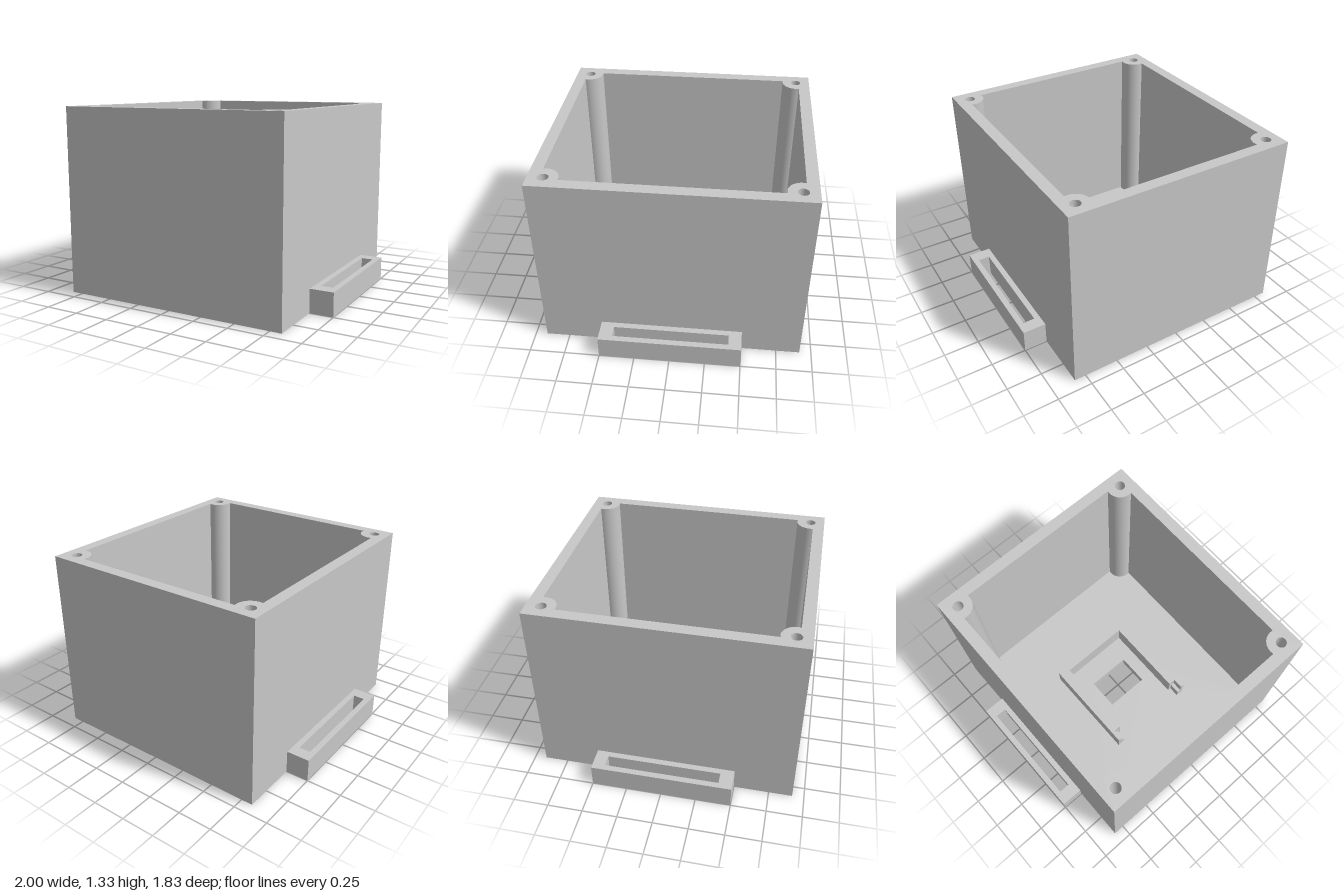
import * as THREE from 'three';
import { toCreasedNormals } from 'three/addons/utils/BufferGeometryUtils.js';

const W = 0.833, D = 0.917, H = 1.333, FLOOR = 0.083;
const IN_X = 0.75, IN_Z = 0.835;
const POST_X = 0.73, POST_Z = 0.813, POST_R = 0.1, SCREW_R = 0.037;

const rect = (x0, z0, x1, z1) => [[x0, z0], [x1, z0], [x1, z1], [x0, z1]];

// Plan outline as shape points, always counter-clockwise so faces point outward
function toVectors(pts) {
  const v = pts.map(([x, z]) => new THREE.Vector2(x, -z));
  return THREE.ShapeUtils.isClockWise(v) ? v.reverse() : v;
}

// Upright prism from an x,z outline with optional holes
function prism(outline, holes, y0, y1) {
  const shape = new THREE.Shape(toVectors(outline));
  for (const hole of holes) shape.holes.push(new THREE.Path(toVectors(hole)));
  const geo = new THREE.ExtrudeGeometry(shape, { depth: y1 - y0, bevelEnabled: false });
  geo.rotateX(-Math.PI / 2);
  geo.translate(0, y0, 0);
  return toCreasedNormals(geo, 0.5);
}

// Cavity outline with a round screw post biting into each corner
function cavityOutline() {
  const a0 = -Math.acos((IN_X - POST_X) / POST_R);
  const a1 = -Math.PI - Math.asin((IN_Z - POST_Z) / POST_R);
  const arc = [];
  for (let i = 0; i <= 16; i++) {
    const a = a0 + (a1 - a0) * i / 16;
    arc.push([POST_X + POST_R * Math.cos(a), POST_Z + POST_R * Math.sin(a)]);
  }
  const pts = [];
  for (const [sx, sz] of [[1, 1], [-1, 1], [-1, -1], [1, -1]]) {
    const corner = arc.map(([x, z]) => [x * sx, z * sz]);
    pts.push(...(sx * sz > 0 ? corner : corner.reverse()));
  }
  return pts;
}

function circle(cx, cz, r, n = 24) {
  return Array.from({ length: n }, (_, i) => {
    const a = i / n * Math.PI * 2;
    return [cx + r * Math.cos(a), cz + r * Math.sin(a)];
  });
}

export function createModel() {
  const group = new THREE.Group();
  const grey = new THREE.MeshStandardMaterial({ color: 0xc8c8c8 });
  grey.name = 'grey plastic';

  const add = (name, geo) => {
    const mesh = new THREE.Mesh(geo, grey);
    mesh.name = name;
    group.add(mesh);
  };

  // Floor with the rectangular opening
  add('floor', prism(rect(-W, -D, W, D), [rect(-0.167, -0.12, 0.167, 0.12)], 0, FLOOR));

  // Walls, corner posts and screw holes in one ring
  const screwHoles = [];
  for (const sx of [-1, 1]) for (const sz of [-1, 1]) {
    screwHoles.push(circle(sx * POST_X, sz * POST_Z, SCREW_R));
  }
  add('walls', prism(rect(-W, -D, W, D), [cavityOutline(), ...screwHoles], FLOOR, H));

  // U-shaped holder standing on the floor around the opening
  const half = [[0.27, -0.297], [0.27, 0.333], [0.323, 0.333], [0.323, 0.413], [0.353, 0.413], [0.353, -0.337]];
  const mirrored = half.map(([x, z]) => [-x, z]).reverse();
  add('holder', prism([...half, ...mirrored], [], FLOOR, 0.25));

  for (const s of [-1, 1]) {
    const side = s > 0 ? 'left' : 'right';
    // Low catch at the open end of each holder arm
    add(side + 'HolderCatch', prism(rect(s * 0.295, 0.333, s * 0.323, 0.413), [], FLOOR, 0.17));
    // Slotted strap lug outside each wall
    add(side + 'StrapLug', prism(
      rect(s * W, -0.5, s, 0.5),
      [rect(s * 0.875, -0.41, s * 0.958, 0.405)], 0, 0.167));
  }
  return group;
}
